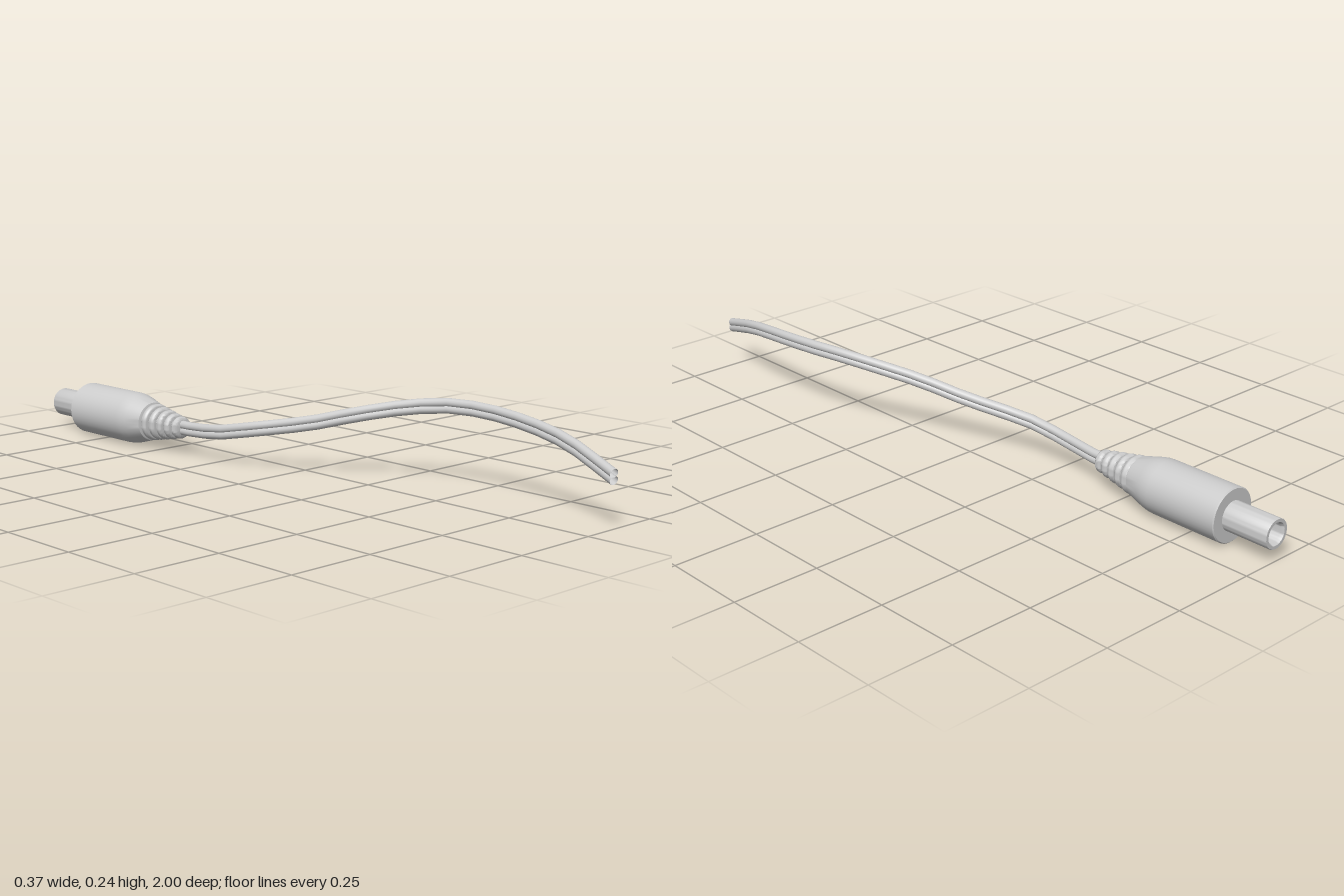
import * as THREE from 'three';
import { toCreasedNormals } from 'three/addons/utils/BufferGeometryUtils.js';

const CX = -0.11, CY = 0.078; // plug axis

export function createModel() {
  const model = new THREE.Group();
  const solid = new THREE.MeshStandardMaterial({ color: 0xcccccc });
  const open = new THREE.MeshStandardMaterial({ color: 0xcccccc, side: THREE.DoubleSide });

  // Turns a [radius, z] profile around the plug axis
  const turned = (name, profile, crease = 0.6) => {
    const points = profile.map(([r, z]) => new THREE.Vector2(r, z));
    const geometry = new THREE.LatheGeometry(points, 40).rotateX(Math.PI / 2);
    const mesh = new THREE.Mesh(toCreasedNormals(geometry, crease), solid);
    mesh.name = name;
    mesh.position.set(CX, CY, 0);
    model.add(mesh);
  };

  // Hollow metal barrel
  turned('barrel', [
    [0, -0.87], [0.028, -0.87], [0.028, -0.99], [0.032, -1], [0.041, -1], [0.042, -0.998], [0.042, -0.85],
  ]);

  // Grip with a tapering front
  turned('grip', [
    [0, -0.86], [0.074, -0.86], [0.077, -0.857], [0.077, -0.635],
    [0.0755, -0.615], [0.071, -0.595], [0.057, -0.546], [0.045, -0.542], [0, -0.542],
  ]);

  // Strain relief: rounded ribs that shrink toward the cable
  const ribs = 5, start = -0.548, pitch = 0.0285;
  const relief = [[0, start]];
  for (let i = 0; i < ribs; i++) {
    const outer = 0.055 - i * 0.0055, z = start + i * pitch;
    relief.push([outer - 0.009, z], [outer - 0.009, z + 0.006]);
    for (let k = 0; k <= 6; k++) {
      const a = (k / 6) * Math.PI;
      relief.push([outer - 0.007 + 0.007 * Math.sin(a), z + 0.017 - 0.011 * Math.cos(a)]);
    }
  }
  relief.push([0, start + ribs * pitch]);
  turned('strainRelief', relief, 0.9);

  // Twin-core cable: two joined strands, one above the other
  const path = [
    [-0.11, 0.078, -0.45], [-0.112, 0.08, -0.36], [-0.117, 0.092, -0.235], [-0.098, 0.112, -0.13],
    [-0.063, 0.127, -0.05], [-0.02, 0.146, 0.045], [0.04, 0.18, 0.167], [0.107, 0.208, 0.29],
    [0.15, 0.222, 0.4], [0.168, 0.222, 0.5], [0.167, 0.212, 0.64], [0.143, 0.188, 0.81], [0.095, 0.134, 1],
  ];
  for (const [name, lift] of [['upperStrand', 0.009], ['lowerStrand', -0.009]]) {
    const curve = new THREE.CatmullRomCurve3(path.map(([x, y, z]) => new THREE.Vector3(x, y + lift, z)));
    const strand = new THREE.Mesh(new THREE.TubeGeometry(curve, 20, 0.0125, 14), open);
    strand.name = name;
    model.add(strand);
  }
  return model;
}
